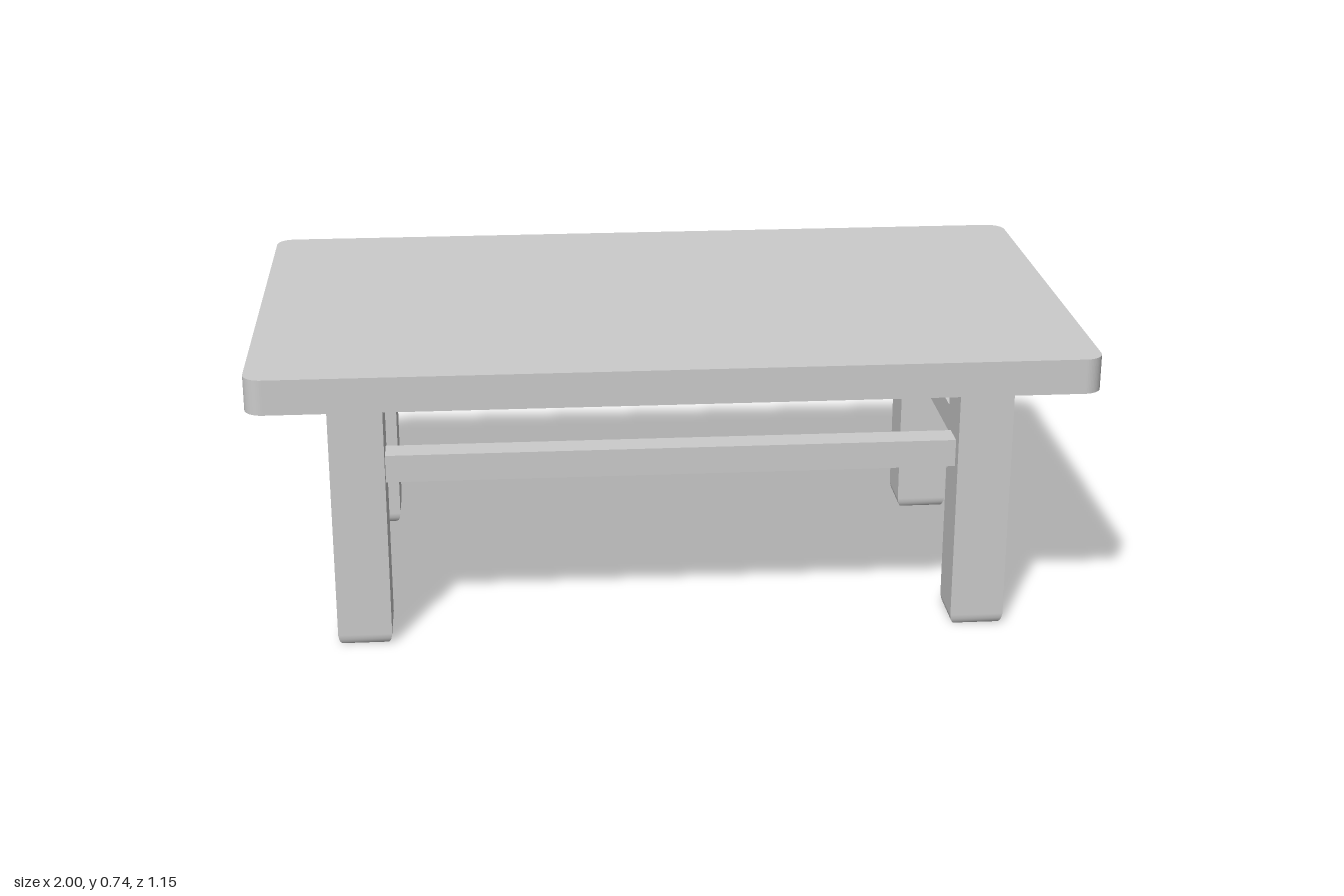
import * as THREE from 'three';

const material = new THREE.MeshStandardMaterial({ color: 0xcccccc });

function addMesh(parent, name, geometry, x = 0, y = 0, z = 0) {
  const mesh = new THREE.Mesh(geometry, material);
  mesh.name = name;
  mesh.position.set(x, y, z);
  parent.add(mesh);
  return mesh;
}

// Slab with rounded vertical corners and crisp top and bottom edges
function tabletopGeometry(w, h, d, r) {
  const x = w / 2, z = d / 2;
  const s = new THREE.Shape();
  s.absarc(x - r, z - r, r, 0, Math.PI / 2);
  s.absarc(-x + r, z - r, r, Math.PI / 2, Math.PI);
  s.absarc(-x + r, -z + r, r, Math.PI, Math.PI * 1.5);
  s.absarc(x - r, -z + r, r, Math.PI * 1.5, Math.PI * 2);
  return new THREE.ExtrudeGeometry(s, { depth: h, bevelEnabled: false, curveSegments: 8 })
    .rotateX(-Math.PI / 2);
}

// Square post whose foot eases inwards over the last few rows
function legGeometry(w, h) {
  const rows = [[0, 0.009], [0.005, 0.005], [0.013, 0.002], [0.025, 0], [h, 0]];
  const g = new THREE.BoxGeometry(w, 1, w, 1, rows.length - 1, 1);
  const p = g.attributes.position;
  for (let i = 0; i < p.count; i++) {
    const [y, inset] = rows[Math.round((p.getY(i) + 0.5) * (rows.length - 1))];
    const k = 1 - (2 * inset) / w;
    p.setXYZ(i, p.getX(i) * k, y, p.getZ(i) * k);
  }
  g.computeVertexNormals();
  return g;
}

export function createModel() {
  const table = new THREE.Group();
  table.name = 'table';

  const topY = 0.65, legW = 0.131, legX = 0.755, legZ = 0.379;
  const railY = 0.445, railW = 0.068;

  addMesh(table, 'tabletop', tabletopGeometry(2, 0.085, 1.154, 0.045), 0, topY, 0);

  // Legs
  const leg = legGeometry(legW, topY);
  for (const [sx, side] of [[-1, 'Right'], [1, 'Left']]) {
    for (const [sz, end] of [[-1, 'back'], [1, 'front']]) {
      addMesh(table, `${end}${side}Leg`, leg, sx * legX, 0, sz * legZ);
    }
  }

  // Rails between the legs, tucked slightly into them
  const span = (c) => 2 * c - legW + 0.01;
  const longRail = new THREE.BoxGeometry(span(legX), railW, railW);
  const shortRail = new THREE.BoxGeometry(railW, railW, span(legZ));
  addMesh(table, 'frontRail', longRail, 0, railY, legZ);
  addMesh(table, 'backRail', longRail, 0, railY, -legZ);
  addMesh(table, 'leftRail', shortRail, legX, railY, 0);
  addMesh(table, 'rightRail', shortRail, -legX, railY, 0);

  return table;
}
